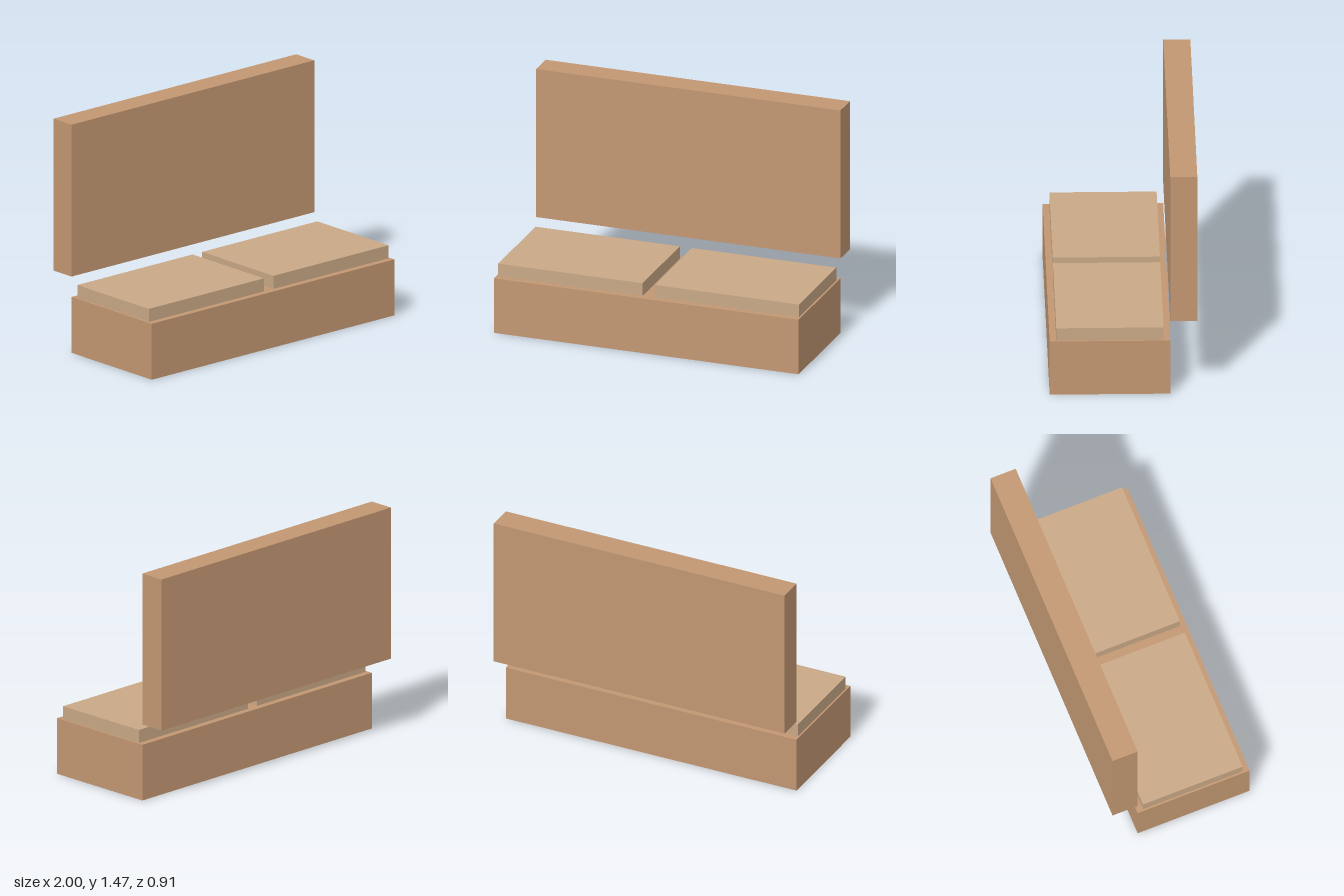
import * as THREE from 'three';

const woodMaterial = new THREE.MeshStandardMaterial({ color: 0xc29772 });
const cushionMaterial = new THREE.MeshStandardMaterial({ color: 0xc9a886 });

// Box given by its minimum and maximum corners
function box(name, [x0, y0, z0], [x1, y1, z1], material) {
  const mesh = new THREE.Mesh(new THREE.BoxGeometry(x1 - x0, y1 - y0, z1 - z0), material);
  mesh.position.set((x0 + x1) / 2, (y0 + y1) / 2, (z0 + z1) / 2);
  mesh.name = name;
  return mesh;
}

export function createModel() {
  const sofa = new THREE.Group();
  sofa.name = 'sofa';

  // Solid base and the raised backrest behind it
  sofa.add(box('base', [-1, 0, -0.288], [1, 0.361, 0.455], woodMaterial));
  sofa.add(box('backrest', [-1, 0.492, -0.455], [1, 1.472, -0.288], woodMaterial));

  // Two seat cushions, mirrored about the centre
  const left = box('leftCushion', [0.04, 0.361, -0.247], [0.988, 0.445, 0.414], cushionMaterial);
  const right = left.clone();
  right.name = 'rightCushion';
  right.position.x *= -1;
  sofa.add(left, right);

  return sofa;
}
